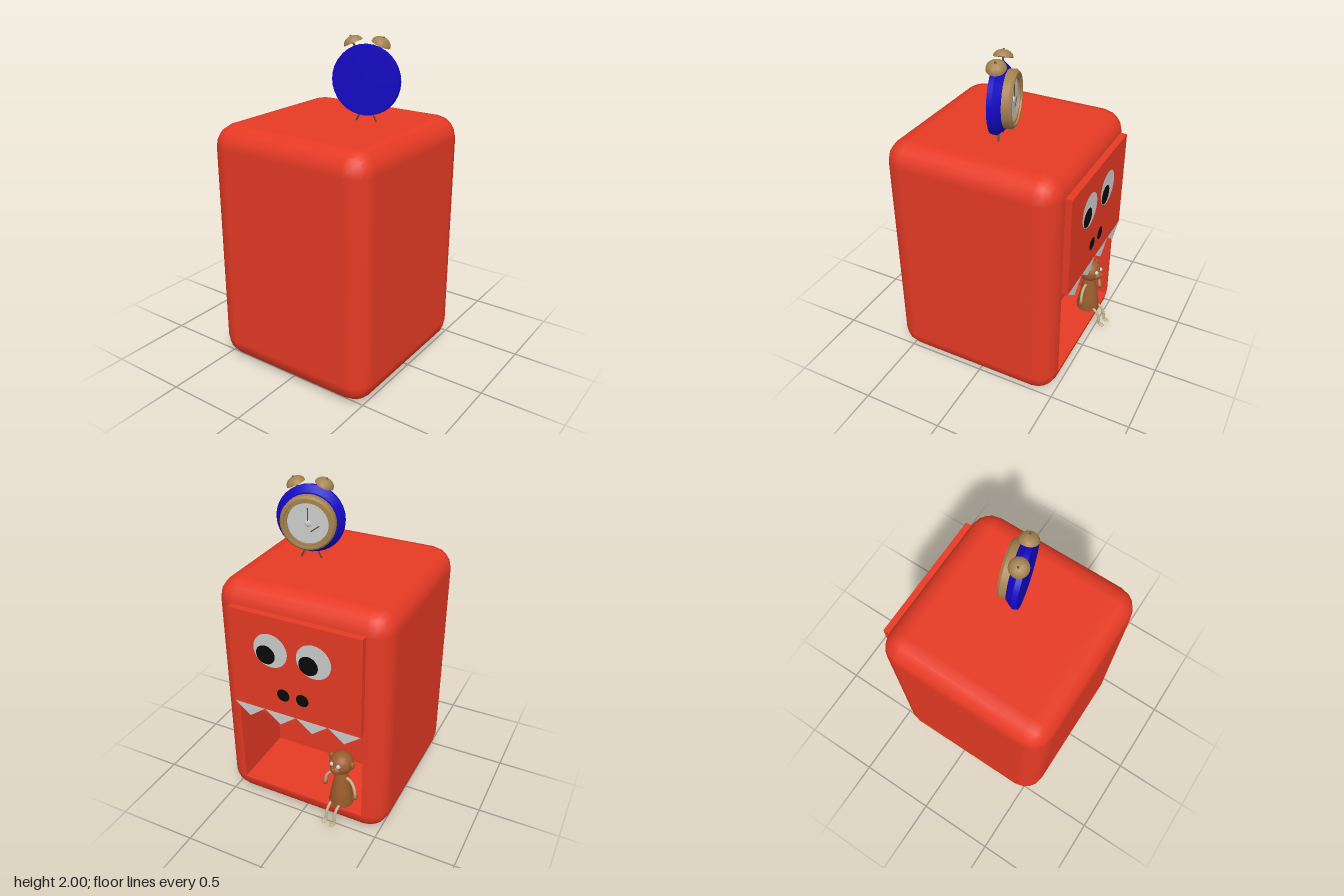
import * as THREE from 'three';
import { toCreasedNormals } from 'three/addons/utils/BufferGeometryUtils.js';
import { RoundedBoxGeometry } from 'three/addons/geometries/RoundedBoxGeometry.js';

const mat = (color, side = THREE.FrontSide) => new THREE.MeshStandardMaterial({ color, side });
const red = mat(0xe63a24), redInside = mat(0xe63a24, THREE.BackSide);
const blue = mat(0x1408c4), tan = mat(0xa5824f), grey = mat(0xcccccc), black = mat(0x080808);
const brown = mat(0x9a5c2c), beige = mat(0xc4b48c), dark = mat(0x554a38);

function add(parent, name, geometry, material, x = 0, y = 0, z = 0) {
  const mesh = new THREE.Mesh(geometry, material);
  mesh.name = name;
  mesh.position.set(x, y, z);
  parent.add(mesh);
  return mesh;
}

function group(parent, name, x, y, z, turn) {
  const g = new THREE.Group();
  g.name = name;
  g.position.set(x, y, z);
  g.rotation.y = turn;
  parent.add(g);
  return g;
}

// Drops the flat triangles that face -z, leaving the geometry open there
function openBack(source) {
  const geo = source.index ? source.toNonIndexed() : source;
  const pos = geo.attributes.position, nor = geo.attributes.normal;
  const p = [], n = [];
  for (let i = 0; i < pos.count; i += 3) {
    if ([0, 1, 2].every(k => nor.getZ(i + k) < -0.999)) continue;
    for (let k = i; k < i + 3; k++) {
      p.push(pos.getX(k), pos.getY(k), pos.getZ(k));
      n.push(nor.getX(k), nor.getY(k), nor.getZ(k));
    }
  }
  const out = new THREE.BufferGeometry();
  out.setAttribute('position', new THREE.Float32BufferAttribute(p, 3));
  out.setAttribute('normal', new THREE.Float32BufferAttribute(n, 3));
  return out;
}

// Turned shape whose axis runs towards -z; points are [radius, depth]
function turned(points) {
  const lathe = new THREE.LatheGeometry(points.map(([r, d]) => new THREE.Vector2(r, d)), 32);
  return toCreasedNormals(lathe.rotateX(-Math.PI / 2), 0.5);
}

const tube = (points, radius) => new THREE.TubeGeometry(
  new THREE.CatmullRomCurve3(points.map(p => new THREE.Vector3(...p))), 12, radius, 8);

const disc = r => new THREE.CircleGeometry(r, 32).rotateY(Math.PI);

function ball(parent, name, r, material, x, y, z, sx = 1, sy = 1, sz = 1) {
  const mesh = add(parent, name, new THREE.SphereGeometry(r, 20, 14), material, x, y, z);
  mesh.scale.set(sx, sy, sz);
  return mesh;
}

function buildCabinet(parent) {
  const g = group(parent, 'cabinet', 0, 0, 0, 0);
  add(g, 'shell', openBack(new RoundedBoxGeometry(1.08, 1.51, 1.08, 2, 0.135)), red, 0, 0.755, 0.04);
  add(g, 'mouthCavity', openBack(new THREE.BoxGeometry(0.81, 0.565, 0.43)), redInside, 0, 0.4175, -0.285);
  add(g, 'wallAboveMouth', new THREE.BoxGeometry(0.81, 0.675, 0.02), red, 0, 1.0375, -0.49);
}

function buildFace(parent) {
  const g = group(parent, 'face', 0, 0, 0, 0);
  add(g, 'facePanel', new THREE.BoxGeometry(0.82, 0.63, 0.04), red, 0, 1.075, -0.52);
  for (const side of [-1, 1]) {
    add(g, 'eye', disc(0.107), grey, 0.012 + side * 0.135, 1.174, -0.542);
    add(g, 'pupil', disc(0.06), black, 0.043 + side * 0.134, 1.142, -0.544);
    add(g, 'nostril', disc(0.04), black, 0.014 + side * 0.061, 0.897, -0.542);
  }
  // Row of four wedge teeth under the panel
  const w = 0.1025;
  const shape = new THREE.Shape([[-w, 0], [0, -0.08], [w, 0]].map(p => new THREE.Vector2(...p)));
  const tooth = new THREE.ExtrudeGeometry(shape, { depth: 0.04, bevelEnabled: false });
  for (let i = 0; i < 4; i++) add(g, 'tooth', tooth, grey, (i - 1.5) * 2 * w, 0.76, -0.54);
}

function buildClock(parent) {
  const g = group(parent, 'alarmClock', 0.178, 1.75, 0.033, 0.262);
  add(g, 'clockCase', turned([[0, 0], [0.197, 0], [0.202, 0.03], [0.168, 0.07], [0, 0.07]]), blue);
  add(g, 'clockRim', turned([[0.16, 0.06], [0.162, 0.11], [0.15, 0.125], [0.138, 0.125],
    [0.136, 0.115], [0.122, 0.115], [0.12, 0.1]]), tan);
  add(g, 'dial', disc(0.122), grey, 0, 0, -0.103);
  add(g, 'minuteHand', new THREE.BoxGeometry(0.006, 0.09, 0.004), dark, 0, 0.045, -0.108);
  const hour = add(g, 'hourHand', new THREE.BoxGeometry(0.006, 0.06, 0.004), dark, -0.04, -0.03, -0.108);
  hour.rotation.z = 0.93;
  ball(g, 'handHub', 0.02, grey, 0, 0, -0.106, 1, 1, 0.4);

  // Twin bells and splayed feet
  const dome = new THREE.LatheGeometry([[0, 0], [0.056, 0], [0.052, 0.016], [0.038, 0.031], [0.02, 0.039], [0, 0.041]]
    .map(p => new THREE.Vector2(...p)), 24);
  for (const side of [-1, 1]) {
    const bell = group(g, 'bell', side * 0.08, 0.202, -0.03, 0);
    bell.rotation.z = -side * 0.42;
    add(bell, 'bellDome', toCreasedNormals(dome, 0.7), tan);
    add(bell, 'bellStem', new THREE.CylinderGeometry(0.006, 0.006, 0.06, 8), dark, 0, -0.02, 0);
    ball(bell, 'bellKnob', 0.006, dark, 0, 0.041, 0);
    add(g, 'clockFoot', tube([[side * 0.035, -0.18, -0.03], [side * 0.048, -0.21, -0.03],
      [side * 0.061, -0.237, -0.03]], 0.005), dark);
  }
}

function buildDoll(parent) {
  const g = group(parent, 'sittingDoll', -0.24, 0.138, -0.43, -0.2);
  const profile = [[0, 0], [0.074, 0], [0.076, 0.015], [0.062, 0.1], [0.043, 0.2], [0.034, 0.245], [0, 0.25]];
  const torso = new THREE.LatheGeometry(profile.map(p => new THREE.Vector2(...p)), 24);
  add(g, 'torso', toCreasedNormals(torso, 0.8), brown);
  ball(g, 'head', 0.073, brown, 0, 0.3, 0);
  ball(g, 'snout', 0.032, brown, 0, 0.285, -0.062, 1.1, 0.9, 0.8);
  ball(g, 'nose', 0.012, brown, 0, 0.298, -0.084);
  for (const side of [-1, 1]) {
    ball(g, 'ear', 0.026, brown, side * 0.076, 0.315, 0, 0.7, 1, 0.6);
    ball(g, 'dollEye', 0.013, grey, side * 0.024, 0.32, -0.064);
    add(g, 'arm', tube([[side * 0.035, 0.2, 0], [side * 0.075, 0.19, -0.005],
      [side * 0.104, 0.155, -0.012], [side * 0.113, 0.11, -0.015]], 0.009), beige);
    ball(g, 'hand', 0.018, brown, side * 0.114, 0.1, -0.016);
    add(g, 'leg', tube([[side * 0.03, 0.02, -0.05], [side * 0.03, 0.005, -0.085],
      [side * 0.03, -0.03, -0.108], [side * 0.03, -0.085, -0.118]], 0.009), beige);
    ball(g, 'foot', 0.02, beige, side * 0.03, -0.086, -0.132, 0.75, 0.4, 1.2);
  }
}

export function createModel() {
  const model = new THREE.Group();
  model.name = 'monsterCabinet';
  buildCabinet(model);
  buildFace(model);
  buildClock(model);
  buildDoll(model);
  return model;
}
